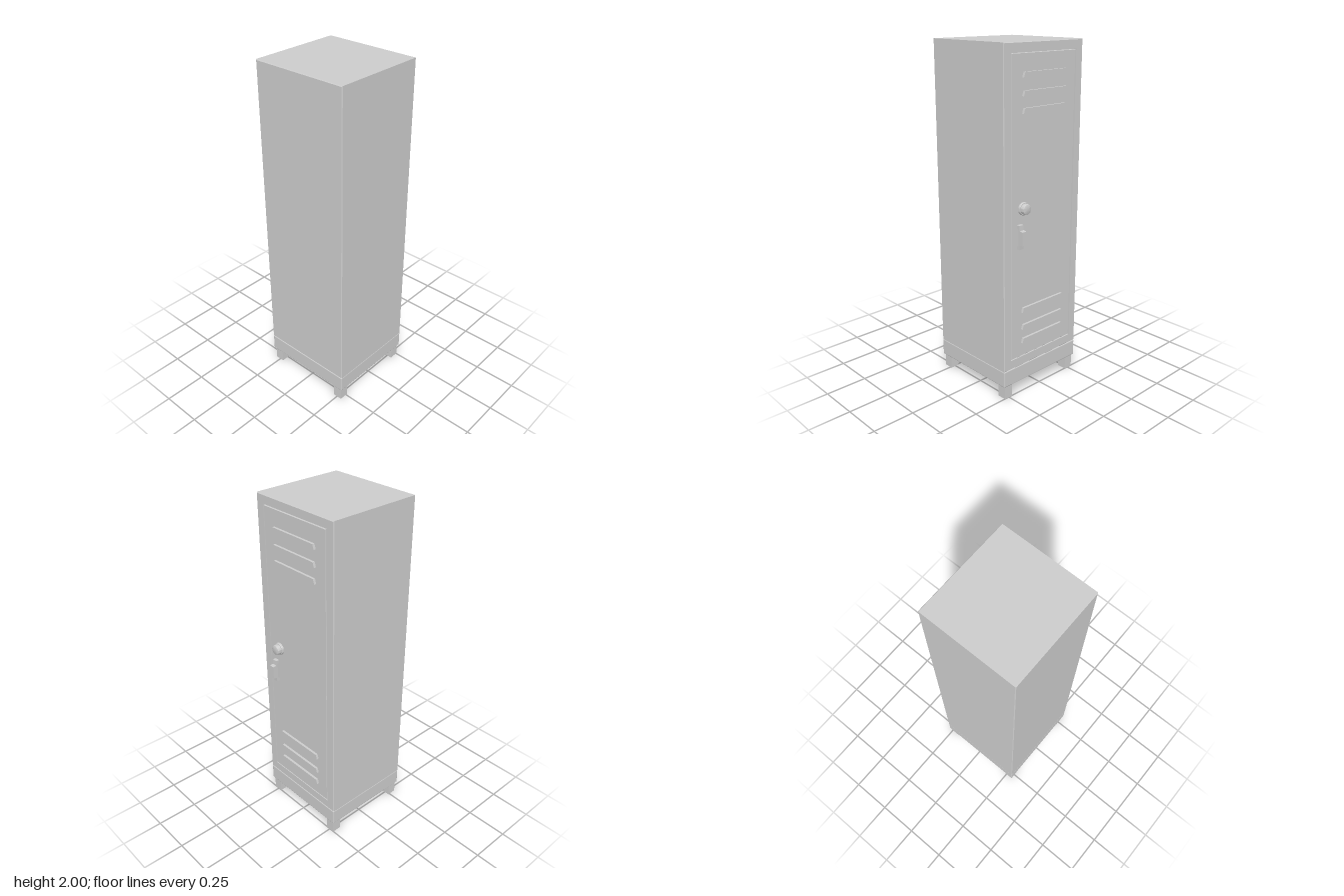
import * as THREE from 'three';
import { toCreasedNormals } from 'three/addons/utils/BufferGeometryUtils.js';
import { RoundedBoxGeometry } from 'three/addons/geometries/RoundedBoxGeometry.js';

const material = new THREE.MeshStandardMaterial({ color: 0xcccccc });

const BACK = -0.305, FACE = 0.261; // x of the back and of the door side
const HALF = 0.294;                // half width along z
const DOOR = { y0: 0.235, y1: 1.95, half: 0.242 };

function add(parent, name, geometry, x = 0, y = 0, z = 0) {
  const mesh = new THREE.Mesh(geometry, material);
  mesh.name = name;
  mesh.position.set(x, y, z);
  parent.add(mesh);
  return mesh;
}

// Solid through rectangular sections [x, y0, y1, halfZ], capped at both ends.
function loftRects(sections) {
  const rings = sections.map(([x, y0, y1, h]) => [[x, y0, -h], [x, y1, -h], [x, y1, h], [x, y0, h]]);
  const out = [];
  const quad = (a, b, c, d) => out.push(...a, ...b, ...c, ...a, ...c, ...d);
  for (let i = 0; i < rings.length - 1; i++) {
    for (let j = 0; j < 4; j++) {
      const k = (j + 1) % 4;
      quad(rings[i][j], rings[i][k], rings[i + 1][k], rings[i + 1][j]);
    }
  }
  quad(...rings[0].slice().reverse());
  quad(...rings[rings.length - 1]);
  const geometry = new THREE.BufferGeometry();
  geometry.setAttribute('position', new THREE.Float32BufferAttribute(out, 3));
  geometry.computeVertexNormals();
  return geometry;
}

function extrude(points, depth) {
  const shape = new THREE.Shape(points.map(([x, y]) => new THREE.Vector2(x, y)));
  return new THREE.ExtrudeGeometry(shape, { depth, bevelEnabled: false });
}

export function createModel() {
  const group = new THREE.Group();
  group.name = 'locker';

  // Cabinet with softened edges and a shallow recess that holds the door
  const b = 0.004, y0 = 0.18, y1 = 2;
  add(group, 'cabinet', loftRects([
    [BACK, y0 + b, y1 - b, HALF - b],
    [BACK + b, y0, y1, HALF],
    [FACE - b, y0, y1, HALF],
    [FACE, y0 + b, y1 - b, HALF - b],
    [FACE, DOOR.y0, DOOR.y1, DOOR.half],
    [FACE - 0.015, DOOR.y0, DOOR.y1, DOOR.half],
  ]));

  // Flush door, leaving a thin gap all round
  const gap = 0.005, e = 0.002;
  add(group, 'door', loftRects([
    [FACE - 0.016, DOOR.y0 + gap, DOOR.y1 - gap, DOOR.half - gap],
    [FACE - e, DOOR.y0 + gap, DOOR.y1 - gap, DOOR.half - gap],
    [FACE, DOOR.y0 + gap + e, DOOR.y1 - gap - e, DOOR.half - gap - e],
  ]));

  // Plinth and four square feet
  const midX = (BACK + FACE) / 2;
  add(group, 'plinth', new RoundedBoxGeometry(FACE - BACK, 0.1, HALF * 2, 2, 0.007), midX, 0.13, 0);
  for (const sx of [-1, 1]) {
    for (const sz of [-1, 1]) {
      add(group, 'foot', new THREE.BoxGeometry(0.056, 0.085, 0.056), midX + sx * 0.246, 0.0425, sz * 0.254);
    }
  }

  // Vent louvres: three at the top and three at the bottom of the door
  const louvre = extrude([[-0.165, -0.014], [0.165, -0.014], [0.156, 0.014], [-0.156, 0.014]], 0.014);
  louvre.rotateY(Math.PI / 2);
  for (const y of [1.837, 1.742, 1.652, 0.528, 0.424, 0.338]) {
    add(group, 'louvre', louvre, FACE, y, 0);
  }

  // Round lock dial on a wider collar
  const dialProfile = [[0, 0], [0.036, 0], [0.036, 0.01], [0.034, 0.013], [0.03, 0.013],
    [0.03, 0.03], [0.028, 0.035], [0.024, 0.037], [0, 0.037]].map(([r, y]) => new THREE.Vector2(r, y));
  const dial = toCreasedNormals(new THREE.LatheGeometry(dialProfile, 32), 0.6);
  dial.rotateZ(-Math.PI / 2);
  add(group, 'lockDial', dial, FACE, 1.125, 0.155);

  // Handle: bracket standing off the door, with a thicker grip in the middle
  const handle = extrude([
    [0, -0.069], [0.02, -0.069], [0.022, -0.043], [0.044, -0.04], [0.044, 0.037], [0.022, 0.04],
    [0.02, 0.069], [0, 0.069], [0, 0.055], [0.012, 0.045], [0.012, -0.045], [0, -0.055],
  ], 0.03);
  add(group, 'handle', handle, FACE, 0.971, 0.17);

  return group;
}
